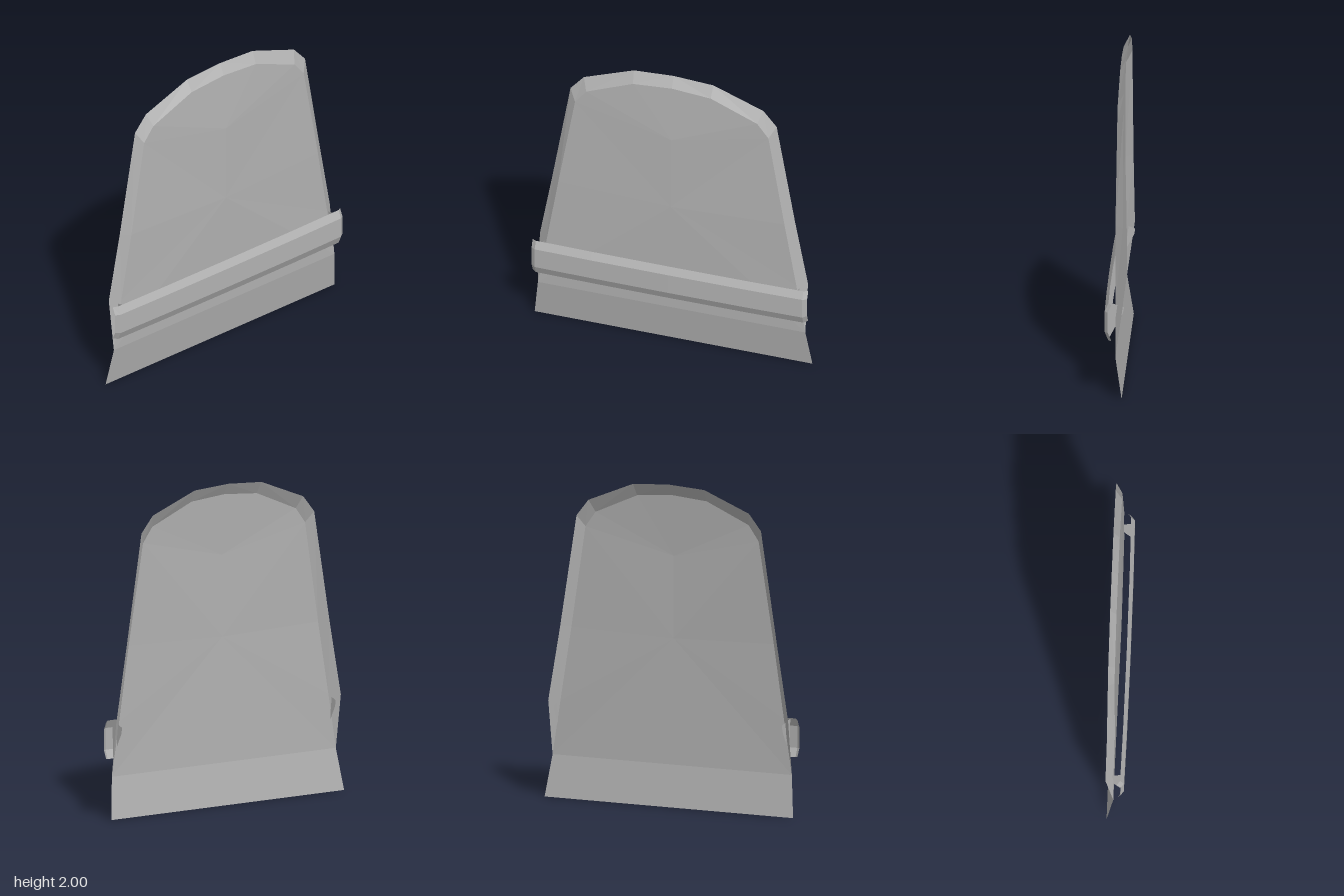
import * as THREE from 'three';

const grey = new THREE.MeshStandardMaterial({ color: 0xb2b2b2, side: THREE.DoubleSide });
grey.name = 'plain grey';

const mirror = ([x, y, z]) => [-x, y, z];
const quad = (a, b, c, d) => [a, b, c, a, c, d];

// Flat-shaded mesh from a list of triangle corners
function facets(name, corners) {
  const g = new THREE.BufferGeometry();
  g.setAttribute('position', new THREE.Float32BufferAttribute(corners.flat(), 3));
  g.computeVertexNormals();
  const m = new THREE.Mesh(g, grey);
  m.name = name;
  return m;
}

// Repeats the triangles of the +x half on the -x half, with reversed winding
function bothSides(corners) {
  const out = [...corners];
  for (let i = 0; i < corners.length; i += 3) {
    out.push(mirror(corners[i]), mirror(corners[i + 2]), mirror(corners[i + 1]));
  }
  return out;
}

export function createModel() {
  const group = new THREE.Group();
  group.name = 'panel';

  // Half outlines, bottom corner to top centre: front edge and swept-back edge
  const inner = [[0.86, 0.26, -0.01], [0.803, 0.6, -0.01], [0.727, 1.06, -0.005], [0.622, 1.69, -0.012],
    [0.55, 1.785, -0.012], [0.25, 1.91, -0.014], [0, 1.93, -0.014]];
  const outer = [[0.86, 0.26, -0.01], [0.862, 0.6, -0.058], [0.78, 1.06, -0.053], [0.663, 1.76, -0.051],
    [0.577, 1.862, -0.052], [0.256, 1.985, -0.053], [0, 2, -0.053]];
  const low = [0, 1.04, 0.007], high = [0, 1.55, 0.007];

  // Slightly domed face, fanned about two centre points
  const face = [[0, 0.26, -0.01], inner[0], low];
  const rim = [];
  for (let i = 0; i < inner.length - 1; i++) {
    if (i === 2) face.push(...quad(low, inner[2], inner[3], high));
    else face.push(i < 2 ? low : high, inner[i], inner[i + 1]);
    if (i === 0) rim.push(inner[0], outer[1], inner[1]);
    else rim.push(...quad(inner[i], outer[i], outer[i + 1], inner[i + 1]));
  }
  group.add(facets('face', bothSides(face)));
  group.add(facets('rim', bothSides(rim)));

  // Bottom flap leaning back
  group.add(facets('bottomFlap', quad([-0.893, 0, -0.05], [0.893, 0, -0.05], [0.86, 0.26, -0.01], [-0.86, 0.26, -0.01])));

  // Cross strap: a bevelled profile swept through stations whose ends bend back
  const profile = [[0.365, 0.037], [0.42, 0.06], [0.555, 0.06], [0.605, 0.037]];
  const stations = [[0, 0.002, 1], [0.5, 0, 1], [0.86, -0.005, 1], [0.886, -0.024, 0.95]];
  const at = ([x, dz, s], [y, z]) => [x, 0.485 + (y - 0.485) * s, z + dz];
  const strap = [];
  for (let i = 0; i < stations.length - 1; i++) {
    for (let j = 0; j < profile.length - 1; j++) {
      const [s, t, p, q] = [stations[i], stations[i + 1], profile[j], profile[j + 1]];
      strap.push(...quad(at(s, p), at(t, p), at(t, q), at(s, q)));
    }
  }
  group.add(facets('strap', bothSides(strap)));

  // Tapered tabs joining the strap to the face
  const tab = quad([0.82, 0.37, 0.03], [0.82, 0.53, -0.055], [0.82, 0.568, -0.062], [0.82, 0.602, 0.037]);
  group.add(facets('strapTabs', bothSides(tab)));

  return group;
}
